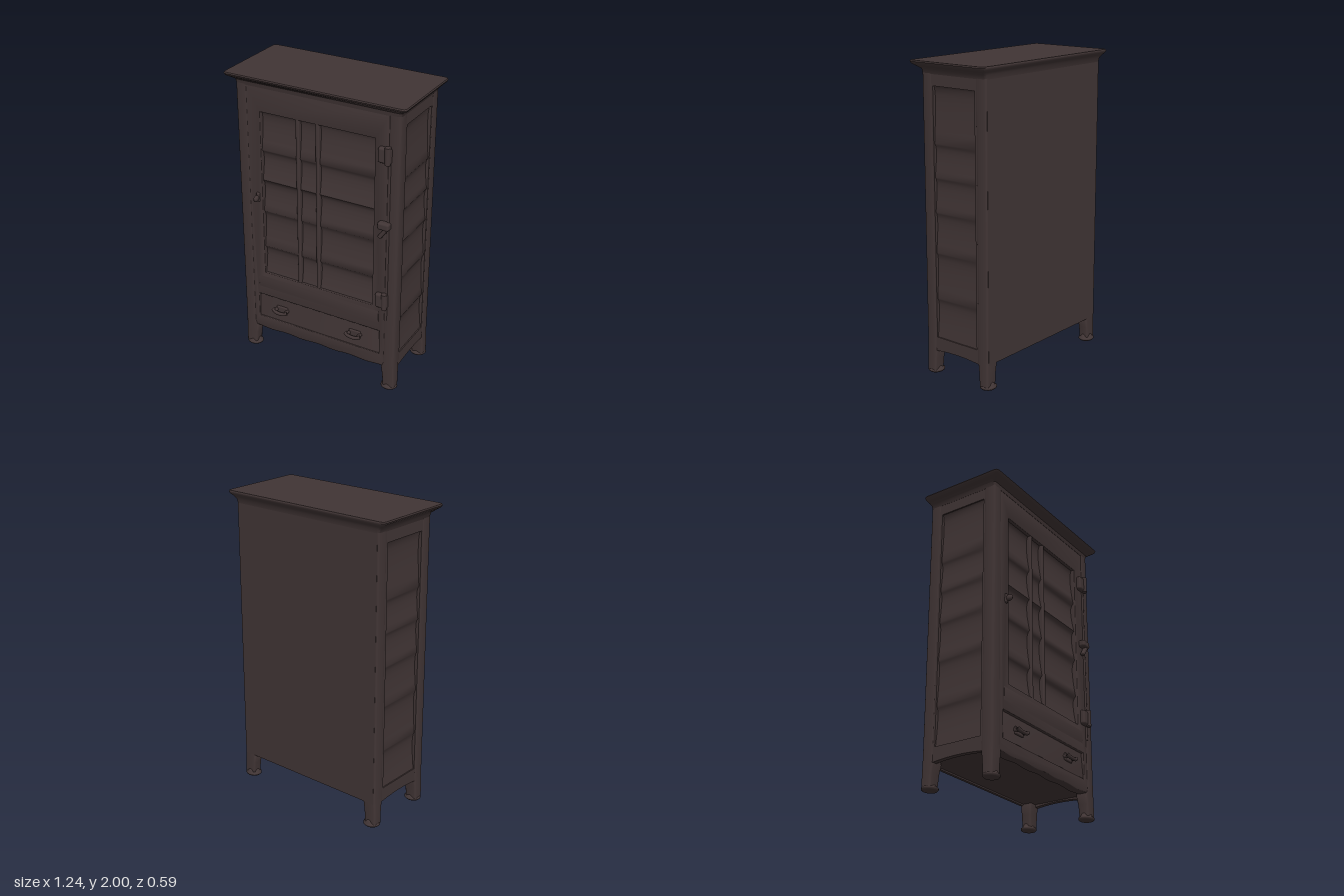
import * as THREE from 'three';
import { toCreasedNormals } from 'three/addons/utils/BufferGeometryUtils.js';
import { RoundedBoxGeometry } from 'three/addons/geometries/RoundedBoxGeometry.js';

const wood = new THREE.MeshStandardMaterial({ color: 0x413535 });
wood.name = 'dark wood';

export function createModel() {
  const model = new THREE.Group();
  model.name = 'cabinet';

  const add = (name, geometry, x = 0, y = 0, z = 0, parent = model) => {
    const mesh = new THREE.Mesh(geometry, wood);
    mesh.name = name;
    mesh.position.set(x, y, z);
    parent.add(mesh);
    return mesh;
  };

  // Box given by its limits, with softened edges
  const block = (name, x0, x1, y0, y1, z0, z1, r = 0.006) =>
    add(name, new RoundedBoxGeometry(x1 - x0, y1 - y0, z1 - z0, 2, r),
      (x0 + x1) / 2, (y0 + y1) / 2, (z0 + z1) / 2);

  // Solid through round-cornered rectangles [y, x0, x1, z0, z1, corner], listed upwards
  const loft = (sections) => {
    const pos = [], index = [], n = 16;
    for (const [y, x0, x1, z0, z1, k] of sections) {
      for (let i = 0; i < n; i++) {
        const corner = Math.floor(i / 4);
        const t = (corner + (i % 4) / 3) * Math.PI / 2;
        const cx = corner === 0 || corner === 3 ? x1 - k : x0 + k;
        const cz = corner < 2 ? z0 + k : z1 - k;
        pos.push(cx + k * Math.cos(t), y, cz - k * Math.sin(t));
      }
    }
    for (let s = 0; s < sections.length - 1; s++) {
      for (let i = 0; i < n; i++) {
        const p = s * n + i, q = s * n + (i + 1) % n;
        index.push(p, q, q + n, p, q + n, p + n);
      }
    }
    const top = (sections.length - 1) * n;
    for (let i = 1; i < n - 1; i++) index.push(0, i + 1, i, top, top + i, top + i + 1);
    const g = new THREE.BufferGeometry();
    g.setAttribute('position', new THREE.Float32BufferAttribute(pos, 3));
    g.setIndex(index);
    return toCreasedNormals(g, 0.7);
  };

  const rectHole = (x0, x1, y0, y1) => {
    const p = new THREE.Path();
    p.moveTo(x0, y0).lineTo(x0, y1).lineTo(x1, y1).lineTo(x1, y0).closePath();
    return p;
  };

  // Panel of softly hollowed bays divided by shelf lips; faces +x, its width runs along z
  const shelvedPanel = (levels, width, depth) => {
    const s = new THREE.Shape();
    s.moveTo(-0.01, levels[0]);
    s.lineTo(depth, levels[0]);
    for (let i = 1; i < levels.length; i++) {
      const a = levels[i - 1], h = levels[i] - a;
      s.lineTo(depth * 0.75, a + h * 0.2);
      s.lineTo(depth * 0.5, a + h * 0.45);
      s.lineTo(depth * 0.38, a + h * 0.68);
      s.lineTo(depth * 0.42, a + h * 0.84);
      s.lineTo(depth * 0.65, levels[i] - 0.014);
      s.lineTo(depth, levels[i]);
    }
    s.lineTo(-0.01, levels[levels.length - 1]);
    const g = new THREE.ExtrudeGeometry(s, { depth: width, bevelEnabled: false });
    g.translate(0, 0, -width / 2);
    return toCreasedNormals(g, 0.9);
  };

  // Carcass
  add('carcass', new THREE.BoxGeometry(1.06, 1.77, 0.445), 0, 1.06, -0.0375);
  add('backPanel', new THREE.BoxGeometry(1.11, 1.78, 0.02), 0, 1.055, -0.2602);

  // Cornice flaring out to the top board
  add('cornice', loft([
    [1.92, -0.564, 0.564, -0.27, 0.235, 0.015],
    [1.948, -0.573, 0.573, -0.273, 0.24, 0.018],
    [1.965, -0.594, 0.594, -0.281, 0.264, 0.02],
    [1.98, -0.614, 0.614, -0.292, 0.288, 0.02],
    [1.992, -0.62, 0.62, -0.296, 0.294, 0.022],
    [2.0, -0.616, 0.616, -0.293, 0.29, 0.022]]));

  // Front frame with window and drawer openings and a wavy apron
  const front = new THREE.Shape();
  front.moveTo(-0.5, 1.94).lineTo(-0.5, 0.18);
  for (let i = 0; i <= 32; i++) {
    const x = -0.48 + i * 0.03;
    front.lineTo(x, 0.17 + 0.004 * Math.cos(x * 26));
  }
  front.lineTo(0.5, 0.18).lineTo(0.5, 1.94).closePath();
  front.holes.push(rectHole(-0.405, 0.405, 0.605, 1.765), rectHole(-0.46, 0.46, 0.25, 0.435));
  add('frontFrame', toCreasedNormals(new THREE.ExtrudeGeometry(front, {
    depth: 0.05, bevelThickness: 0.006, bevelSize: 0.005, bevelSegments: 2 }), 0.9), 0, 0, 0.177);

  // Glazed door bays and bars
  const bays = shelvedPanel([0.6, 0.81, 1.07, 1.29, 1.5, 1.77], 0.82, 0.034);
  bays.rotateY(-Math.PI / 2);
  add('doorBays', bays, 0, 0, 0.184);
  for (const x of [-0.135, 0.005]) block('doorBar', x - 0.013, x + 0.013, 0.6, 1.77, 0.17, 0.23, 0.01);

  // Slight swell between door and drawer
  add('lowerRail', loft([
    [0.45, -0.45, 0.45, 0.2, 0.228, 0.004],
    [0.51, -0.45, 0.45, 0.2, 0.235, 0.004],
    [0.56, -0.45, 0.45, 0.2, 0.236, 0.004],
    [0.595, -0.45, 0.45, 0.2, 0.23, 0.004]]));

  // Drawer leaning back towards its top
  add('drawerFront', loft([
    [0.245, -0.462, 0.462, 0.17, 0.226, 0.004],
    [0.41, -0.462, 0.462, 0.17, 0.215, 0.004],
    [0.44, -0.462, 0.462, 0.17, 0.212, 0.004]]));

  // Drawer pulls: back plate, two studs and a bail
  for (const x of [-0.28, 0.275]) {
    const pull = new THREE.Group();
    pull.name = 'drawerPull';
    pull.position.set(x, 0.345, 0.222);
    model.add(pull);
    add('pullPlate', new RoundedBoxGeometry(0.085, 0.05, 0.016, 2, 0.007), 0, 0, 0.002, pull);
    for (const s of [-1, 1]) {
      const stud = add('pullStud', new THREE.CylinderGeometry(0.011, 0.013, 0.04, 10), s * 0.038, 0, 0.016, pull);
      stud.rotation.x = Math.PI / 2;
    }
    const bail = new THREE.CatmullRomCurve3([[-0.057, 0.006, 0.03], [-0.03, -0.008, 0.036],
      [0.03, -0.008, 0.036], [0.057, 0.006, 0.03]].map((p) => new THREE.Vector3(...p)));
    add('pullBail', new THREE.TubeGeometry(bail, 12, 0.012, 8), 0, 0, 0, pull);
  }

  // Hinges and hinge rod
  for (const y of [1.675, 0.675]) {
    block('hingePlate', 0.43, 0.515, y - 0.052, y + 0.048, 0.22, 0.262, 0.015);
    add('hingeKnuckle', new THREE.CylinderGeometry(0.02, 0.018, 0.11, 12), 0.495, y, 0.254);
  }
  add('hingeRod', new THREE.CylinderGeometry(0.011, 0.011, 1.2, 8), 0.5, 1.13, 0.231);

  // Door latch with a hanging lever
  block('latchPlate', 0.44, 0.52, 1.185, 1.235, 0.22, 0.272, 0.015);
  const lever = add('latchLever', new RoundedBoxGeometry(0.026, 0.1, 0.03, 2, 0.01), 0.478, 1.165, 0.25);
  lever.rotation.z = -0.6;

  // Key plate and key
  block('keyPlate', -0.445, -0.419, 1.135, 1.2, 0.22, 0.245, 0.01);
  add('key', new THREE.SphereGeometry(0.018, 12, 8), -0.432, 1.165, 0.258).scale.set(0.8, 1.2, 1.4);

  // Mirrored sides: posts, framed shelf panels, legs and feet
  const sideShape = new THREE.Shape();
  sideShape.moveTo(-0.2, 1.94).lineTo(-0.2, 0.155);
  sideShape.quadraticCurveTo(-0.02, 0.18, 0.17, 0.155);
  sideShape.lineTo(0.17, 1.94).closePath();
  sideShape.holes.push(rectHole(-0.18, 0.15, 0.25, 1.85));
  const sideFrame = new THREE.ExtrudeGeometry(sideShape, { depth: 0.033, bevelEnabled: false });
  // Shape x becomes z, extrusion runs outwards along -x
  sideFrame.rotateY(-Math.PI / 2);
  const sideBays = shelvedPanel([0.25, 0.51, 0.81, 1.07, 1.29, 1.5, 1.85], 0.34, 0.022);
  const footProfile = [[0, 0], [0.048, 0], [0.056, 0.008], [0.055, 0.017], [0.043, 0.026], [0.036, 0.045], [0, 0.05]]
    .map(([r, y]) => new THREE.Vector2(r, y));
  const foot = new THREE.LatheGeometry(footProfile, 16);

  for (const s of [-1, 1]) {
    const side = s > 0 ? 'left' : 'right';
    add(side + 'SideFrame', sideFrame, s > 0 ? 0.563 : -0.53, 0, 0);
    add(side + 'SideBays', sideBays, s * 0.533, 0, -0.015).rotation.y = s > 0 ? 0 : Math.PI;

    for (const [end, z0, z1] of [['Front', 0.155, 0.236], ['Back', -0.27, -0.19]]) {
      const section = (y, inner, outer, d) => [y, Math.min(s * inner, s * outer), Math.max(s * inner, s * outer),
        end === 'Front' ? z0 + d : z0, end === 'Front' ? z1 : z1 - d, 0.013];
      // Post running down into a tapered leg
      add(side + end + 'Post', loft([
        section(0.015, 0.488, 0.57, 0.012),
        section(0.1, 0.482, 0.569, 0.008),
        section(0.16, 0.473, 0.567, 0),
        section(0.2, 0.488, 0.566, 0),
        section(1.94, 0.488, 0.565, 0)]));
      add(side + end + 'Foot', foot, s * 0.522, 0, end === 'Front' ? 0.201 : -0.238).scale.z = 0.9;
    }
  }
  return model;
}
